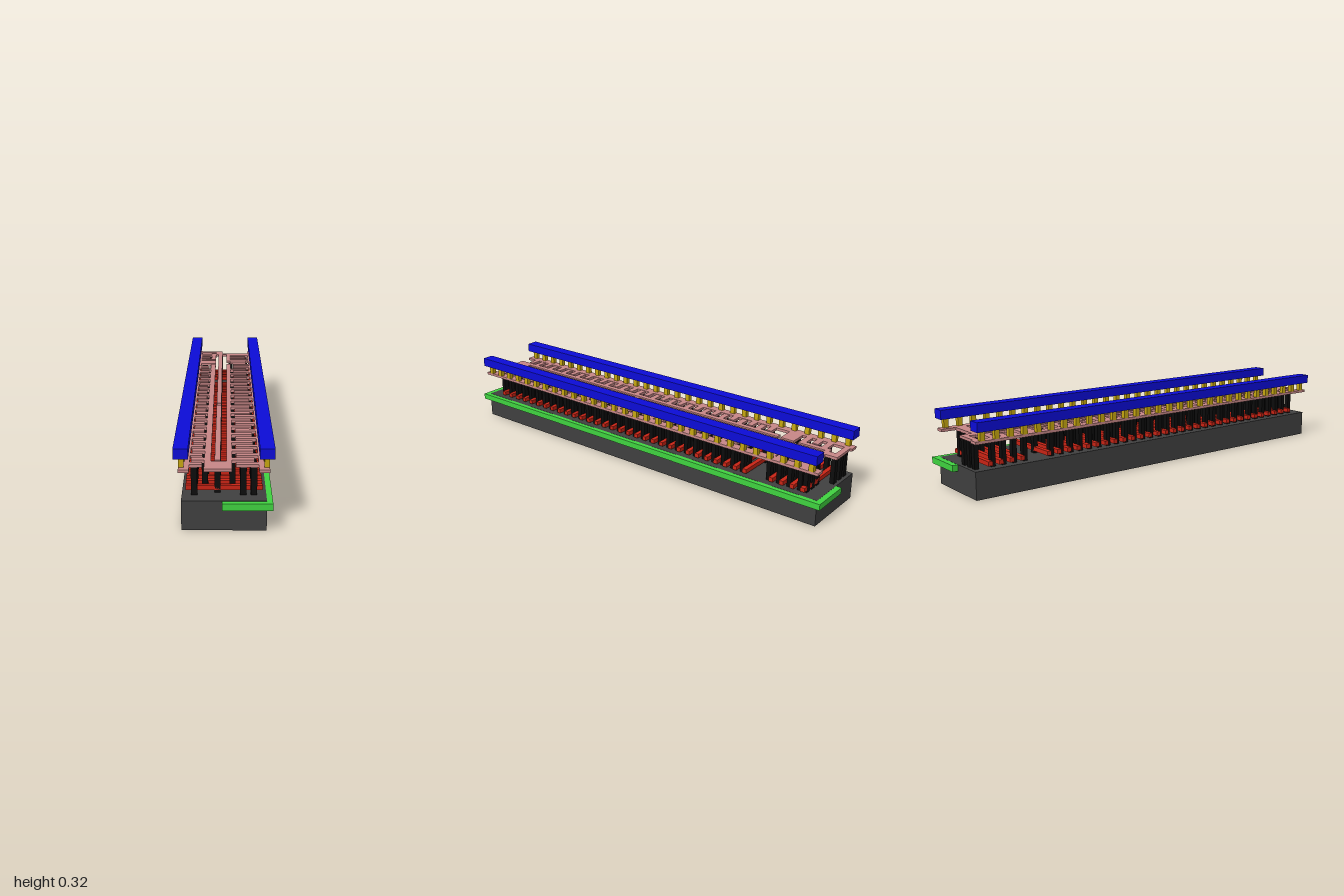
import * as THREE from 'three';

const mat = (color) => new THREE.MeshStandardMaterial({ color });

export function createModel() {
  const model = new THREE.Group();
  const M = {
    base: mat(0x404040), well: mat(0x40d440), gate: mat(0xcc2415), contact: mat(0x0c0c0c),
    metal: mat(0xc88888), via: mat(0xc8a810), rail: mat(0x0c0cd8),
  };
  const layers = {};
  // Box given by its limits, filed under a named layer group
  const box = (layer, material, x0, x1, y0, y1, z0, z1) => {
    if (!layers[layer]) {
      layers[layer] = new THREE.Group();
      layers[layer].name = layer;
      model.add(layers[layer]);
    }
    const mesh = new THREE.Mesh(new THREE.BoxGeometry(x1 - x0, y1 - y0, z1 - z0), material);
    mesh.position.set((x0 + x1) / 2, (y0 + y1) / 2, (z0 + z1) / 2);
    mesh.name = layer;
    layers[layer].add(mesh);
  };
  const metal = (x0, x1, z0, z1) => box('lowerMetal', M.metal, x0, x1, 0.23, 0.242, z0, z1);
  const contact = (x, z) =>
    box('contactPillars', M.contact, x - 0.012, x + 0.012, 0.118, 0.23, z - 0.01, z + 0.01);
  const gate = (x0, x1, z) => box('gateFingers', M.gate, x0, x1, 0.128, 0.147, z - 0.01, z + 0.01);

  // Substrate block and the well set into its left half
  box('substrate', M.base, -0.16, 0.16, 0, 0.118, -0.975, 0.975);
  box('well', M.well, -0.007, 0.182, 0.09, 0.1175, -1, 1);

  // Supply rails, each with a metal strip below joined by a row of vias
  for (const s of [-1, 1]) {
    const span = (a, b) => (s > 0 ? [a, b] : [-b, -a]);
    box('supplyRail', M.rail, ...span(0.132, 0.188), 0.282, 0.323, -0.975, 0.975);
    metal(...span(0.13, 0.17), -0.975, 0.975);
    for (let i = 0; i < 30; i++) {
      const z = -0.943 + i * 0.065;
      box('vias', M.via, ...span(0.15, 0.17), 0.242, 0.282, z - 0.011, z + 0.011);
    }
  }

  // Output metal: two long bars joined by a plate at the front
  metal(-0.075, -0.05, -0.66, 0.88);
  metal(0.01, 0.03, -0.66, 0.88);
  metal(-0.075, 0.03, 0.88, 0.965);
  // Input bars between them, split in two lengths
  metal(-0.036, -0.014, -0.89, 0.11);
  metal(-0.036, -0.014, 0.135, 0.87);

  // Main bank: gate fingers with alternating supply and output teeth
  for (let k = 0; k < 31; k++) {
    const z = 0.88 - k * 0.05;
    gate(-0.147, 0.147, z);
    if (k % 2 === 0) contact(-0.025, z);
    const t = z + 0.025;
    if (k % 2 === 0) {
      metal(-0.13, -0.083, t - 0.014, t + 0.014);
      metal(0.045, 0.13, t - 0.014, t + 0.014);
      contact(-0.113, t);
    } else {
      metal(-0.126, -0.075, t - 0.014, t + 0.014);
      metal(0.03, 0.115, t - 0.014, t + 0.014);
      contact(-0.113, t);
      contact(-0.073, t);
    }
    for (const x of [0.032, 0.073, 0.113]) {
      if (k % 2 || x > 0.05) contact(x, t);
    }
  }

  // Rear driver stage: wider teeth and a hooked input strip
  metal(-0.13, -0.05, -0.74, -0.675);
  metal(-0.13, -0.014, -0.965, -0.94);
  metal(-0.05, -0.014, -0.94, -0.89);
  metal(-0.014, 0.13, -0.91, -0.885);
  metal(0.01, 0.03, -0.885, -0.73);
  metal(0.03, 0.13, -0.755, -0.73);
  metal(0.045, 0.13, -0.66, -0.64);
  metal(-0.075, -0.05, -0.91, -0.78);
  for (const [i, z] of [-0.9, -0.85, -0.8, -0.75].entries()) {
    gate(-0.147, 0.147, z);
    const t = z + 0.025;
    metal(-0.13, i % 2 ? -0.083 : -0.05, t - 0.014, t + 0.014);
    metal(0.03, i % 2 ? 0.115 : 0.13, t - 0.014, t + 0.014);
    for (const x of [-0.113, 0.073, 0.113]) contact(x, t);
  }
  for (const x of [-0.113, -0.073, -0.025]) contact(x, -0.95);
  for (const x of [0.032, 0.073, 0.113]) contact(x, -0.9);

  return model;
}
